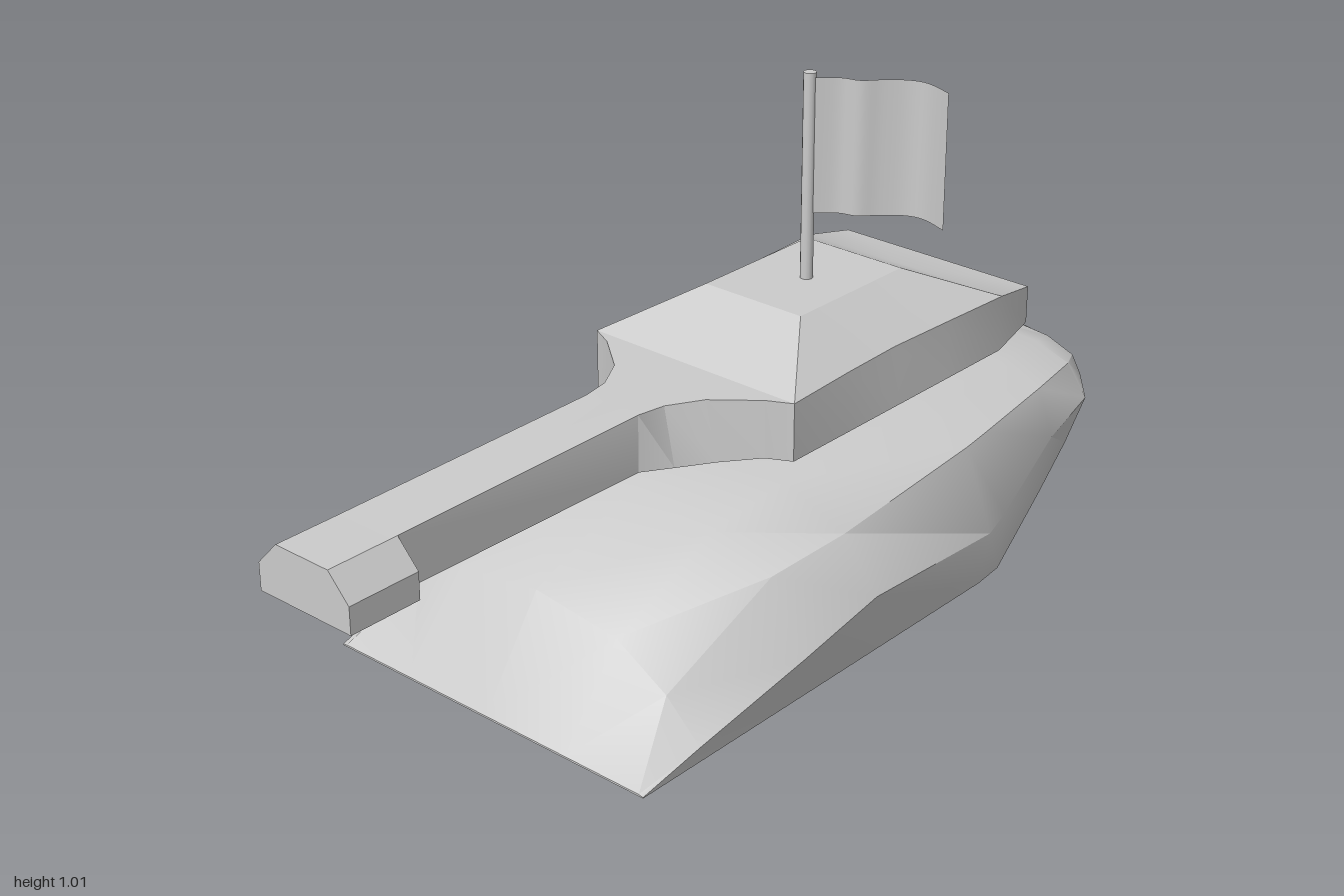
import * as THREE from 'three';
import { toCreasedNormals } from 'three/addons/utils/BufferGeometryUtils.js';

const material = new THREE.MeshStandardMaterial({ color: 0xcccccc });
const thinMaterial = new THREE.MeshStandardMaterial({ color: 0xcccccc, side: THREE.DoubleSide });

function addMesh(parent, name, geometry, mat = material) {
  const mesh = new THREE.Mesh(geometry, mat);
  mesh.name = name;
  parent.add(mesh);
  return mesh;
}

// Skins mirrored cross-sections, ordered front to back.
// A section is [z, [x, y], ...] from bottom centre round the left side to top centre.
function loft(sections, crease) {
  const rings = sections.map(([z, ...half]) => {
    const mirrored = half.slice(1, -1).reverse().map(([x, y]) => [-x, y]);
    return [...half, ...mirrored].map(([x, y]) => new THREE.Vector3(x, y, z));
  });
  const pos = [];
  const tri = (a, b, c) => {
    const area = b.clone().sub(a).cross(c.clone().sub(a)).length();
    if (area > 1e-7) pos.push(...a.toArray(), ...b.toArray(), ...c.toArray());
  };
  const n = rings[0].length;
  const left = n / 2;
  for (let i = 0; i < rings.length - 1; i++) {
    for (let j = 0; j < n; j++) {
      const k = (j + 1) % n;
      const [a, b, c, d] = [rings[i][j], rings[i + 1][j], rings[i + 1][k], rings[i][k]];
      // flip the diagonal on the mirrored half to keep the skin symmetric
      if (j < left) { tri(a, b, d); tri(b, c, d); } else { tri(a, b, c); tri(a, c, d); }
    }
  }
  const first = rings[0], last = rings[rings.length - 1];
  for (let j = 1; j < n - 1; j++) {
    tri(first[0], first[j], first[j + 1]);
    tri(last[0], last[j + 1], last[j]);
  }
  const geometry = new THREE.BufferGeometry();
  geometry.setAttribute('position', new THREE.Float32BufferAttribute(pos, 3));
  return toCreasedNormals(geometry, crease);
}

// Hull: bottom centre, bottom edge, widest side, shoulder, roof edge, roof centre
function hullGeometry() {
  return loft([
    [0.6, [0, 0], [0.39, 0], [0.39, 0.002], [0.38, 0.004], [0.2, 0.004], [0, 0.004]],
    [0.46, [0, 0], [0.39, 0], [0.4, 0.04], [0.32, 0.115], [0.2, 0.185], [0, 0.21]],
    [0.2, [0, 0], [0.39, 0], [0.424, 0.11], [0.345, 0.255], [0.2, 0.295], [0, 0.32]],
    [0, [0, 0], [0.39, 0], [0.435, 0.16], [0.355, 0.265], [0.21, 0.325], [0, 0.338]],
    [-0.4, [0, 0], [0.39, 0], [0.41, 0.12], [0.345, 0.29], [0.21, 0.332], [0, 0.34]],
    [-0.47, [0, 0], [0.385, 0.003], [0.395, 0.13], [0.34, 0.295], [0.21, 0.332], [0, 0.34]],
    [-0.7, [0, 0.065], [0.325, 0.065], [0.347, 0.2], [0.31, 0.3], [0.21, 0.33], [0, 0.34]],
    [-0.85, [0, 0.108], [0.285, 0.11], [0.328, 0.23], [0.28, 0.295], [0.2, 0.322], [0, 0.332]],
    [-0.92, [0, 0.13], [0.25, 0.135], [0.268, 0.24], [0.245, 0.28], [0.18, 0.305], [0, 0.322]],
    [-0.965, [0, 0.19], [0.17, 0.2], [0.19, 0.245], [0.175, 0.265], [0.11, 0.285], [0, 0.3]],
    [-1, [0, 0.235], [0.02, 0.236], [0.025, 0.24], [0.02, 0.244], [0.01, 0.245], [0, 0.246]],
  ], 0.6);
}

// Turret, neck and barrel: bottom centre, bottom edge, wall top, roof edge, roof centre
function turretGeometry() {
  const part = (z, bottom, yBottom, wall, yWall, roof, yRoof) =>
    [z, [0, yBottom], [bottom, yBottom], [wall, yWall], [roof, yRoof], [0, yRoof]];
  const flat = (z, bottom, yBottom, wall, y) => part(z, bottom, yBottom, wall, y, wall, y);
  return loft([
    flat(0.86, 0.065, 0.397, 0.065, 0.506),
    flat(0.25, 0.065, 0.392, 0.065, 0.51),
    flat(0.19, 0.1, 0.39, 0.075, 0.51),
    flat(0.12, 0.145, 0.39, 0.115, 0.51),
    flat(0.05, 0.2, 0.39, 0.2, 0.51),
    flat(0.025, 0.25, 0.39, 0.25, 0.51),
    part(-0.15, 0.25, 0.39, 0.24, 0.51, 0.12, 0.59),
    part(-0.3, 0.25, 0.39, 0.235, 0.51, 0.12, 0.59),
    part(-0.465, 0.25, 0.39, 0.242, 0.51, 0.12, 0.59),
    flat(-0.635, 0.25, 0.39, 0.25, 0.51),
    flat(-0.75, 0.235, 0.41, 0.235, 0.49),
  ], 0.3);
}

// Muzzle block with bevelled upper corners
function muzzleGeometry() {
  const half = [[0.113, 0.4], [0.113, 0.455], [0.065, 0.506]];
  const outline = [...half, ...half.slice().reverse().map(([x, y]) => [-x, y])];
  const shape = new THREE.Shape(outline.map(([x, y]) => new THREE.Vector2(x, y)));
  return new THREE.ExtrudeGeometry(shape, { depth: 0.155, bevelEnabled: false }).translate(0, 0, 0.845);
}

// Waving cloth: a plane whose columns follow a curve
function flagGeometry() {
  const wave = new THREE.SplineCurve([
    [0.015, -0.3], [0.055, -0.337], [0.095, -0.35], [0.125, -0.382],
    [0.165, -0.413], [0.205, -0.42], [0.265, -0.4],
  ].map(([x, z]) => new THREE.Vector2(x, z)));
  const geometry = new THREE.PlaneGeometry(1, 0.277, 24, 1);
  const p = geometry.attributes.position;
  for (let i = 0; i < p.count; i++) {
    const q = wave.getPoint(p.getX(i) + 0.5);
    p.setXYZ(i, q.x, p.getY(i) + 0.867, q.y);
  }
  geometry.computeVertexNormals();
  return geometry;
}

export function createModel() {
  const model = new THREE.Group();
  model.name = 'tank';
  addMesh(model, 'hull', hullGeometry());

  const turret = new THREE.Group();
  turret.name = 'turret';
  model.add(turret);
  addMesh(turret, 'turretAndBarrel', turretGeometry());
  addMesh(turret, 'muzzle', muzzleGeometry());

  const flag = new THREE.Group();
  flag.name = 'flag';
  turret.add(flag);
  addMesh(flag, 'flagPole', new THREE.CylinderGeometry(0.013, 0.013, 0.445, 12)).position.set(0.008, 0.7925, -0.305);
  addMesh(flag, 'flagCloth', flagGeometry(), thinMaterial);
  return model;
}
